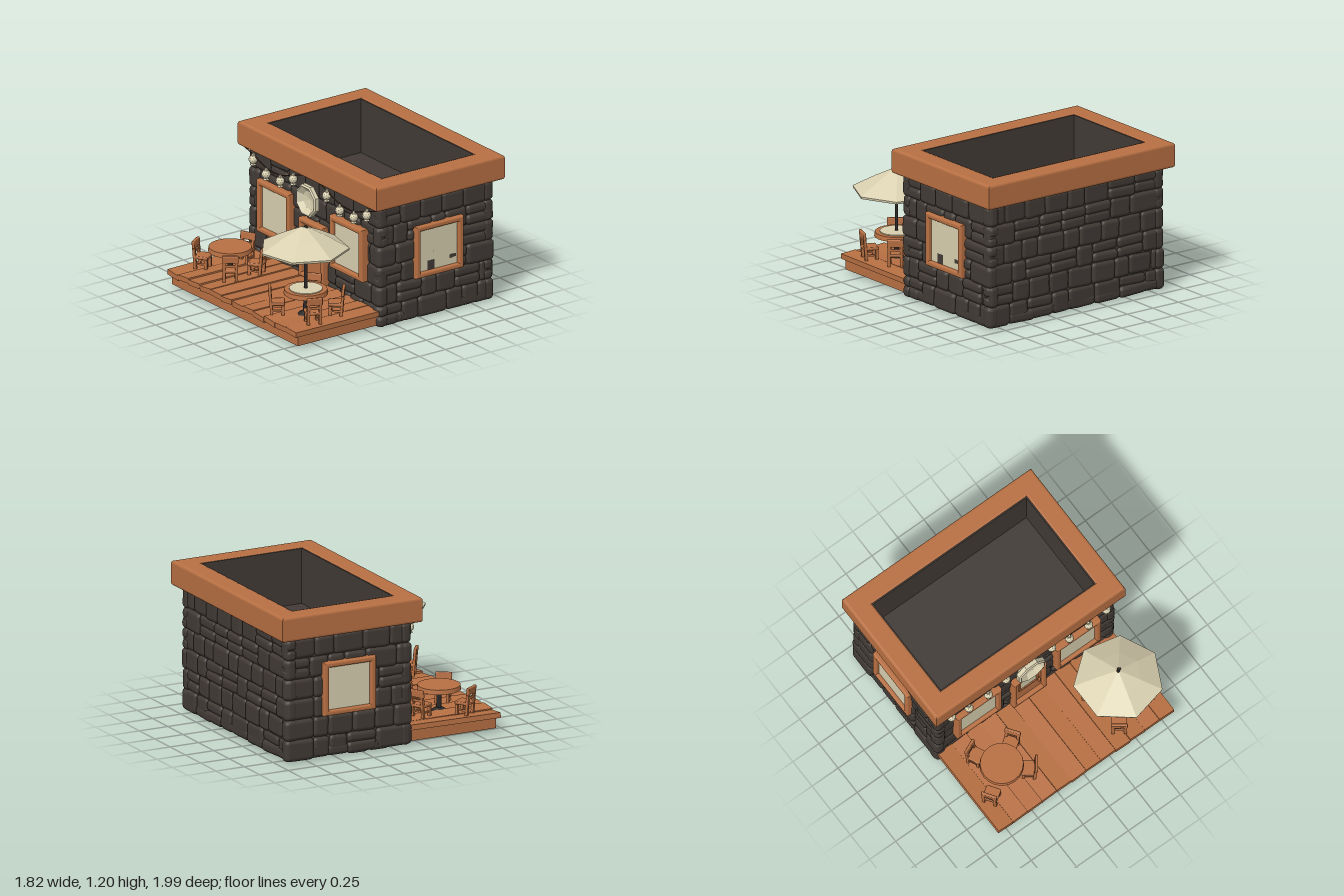
import * as THREE from 'three';
import { mergeGeometries } from 'three/addons/utils/BufferGeometryUtils.js';
import { RoundedBoxGeometry } from 'three/addons/geometries/RoundedBoxGeometry.js';

const material = (name, color, extra = {}) => {
  const m = new THREE.MeshStandardMaterial({ color, ...extra });
  m.name = name;
  return m;
};

export function createModel() {
  const wood = material('wood', 0xb87043);
  const stone = material('stone', 0x423b36);
  const cream = material('cream', 0xd9d0b0, { flatShading: true, side: THREE.DoubleSide });
  const metal = material('dark metal', 0x2a2826);
  const cord = material('cord', 0x4a3022);

  const model = new THREE.Group();
  model.name = 'cafe';
  let seed = 7;
  const rnd = (a, b) => {
    seed = (seed * 16807) % 2147483647;
    return a + (b - a) * (seed / 2147483647);
  };
  const add = (parent, name, geo, mat, x = 0, y = 0, z = 0) => {
    const m = new THREE.Mesh(geo, mat);
    m.name = name;
    m.position.set(x, y, z);
    parent.add(m);
    return m;
  };
  const group = (name, x = 0, y = 0, z = 0, parent = model) => {
    const g = new THREE.Group();
    g.name = name;
    g.position.set(x, y, z);
    parent.add(g);
    return g;
  };
  const box = (w, h, d) => new THREE.BoxGeometry(w, h, d);
  const soft = (w, h, d, r) => new RoundedBoxGeometry(w, h, d, 2, r);
  const cyl = (r1, r2, h, n = 12) => new THREE.CylinderGeometry(r1, r2, h, n);
  const lathe = (points, sides, start = 0) =>
    new THREE.LatheGeometry(points.map(([x, y]) => new THREE.Vector2(x, y)), sides, start);

  // Rectangular frame in XY, centred, with its back at z = 0
  const frame = (w, h, iw, ih, depth, b) => {
    const rect = (P, a, c) => {
      const p = new P();
      p.moveTo(-a, -c); p.lineTo(a, -c); p.lineTo(a, c); p.lineTo(-a, c); p.closePath();
      return p;
    };
    const s = rect(THREE.Shape, w / 2 - b, h / 2 - b);
    s.holes.push(rect(THREE.Path, iw / 2 + b, ih / 2 + b));
    return new THREE.ExtrudeGeometry(s, {
      depth: depth - 2 * b, bevelEnabled: b > 0, bevelSize: b, bevelThickness: b, bevelSegments: 3,
    }).translate(0, 0, b);
  };

  // Irregular courses of rounded stones, outer side at z = 0
  const stoneFace = (w, h, rows) => {
    const parts = [];
    const rh = h / rows;
    for (let r = 0; r < rows; r++) {
      let x = -w / 2;
      while (x < w / 2 - 0.01) {
        let sw = rnd(0.13, 0.27);
        if (w / 2 - x - sw < 0.11) sw = w / 2 - x;
        const split = sw > 0.2 && rnd(0, 1) > 0.65 ? 2 : 1;
        for (let k = 0; k < split; k++) {
          const sh = rh / split;
          const g = soft(sw + 0.006, sh + rnd(0.002, 0.014), 0.09, 0.035);
          g.rotateZ(rnd(-0.04, 0.04)).rotateY(rnd(-0.03, 0.03));
          g.translate(x + sw / 2, -h / 2 + r * rh + (k + 0.5) * sh, -0.045 - rnd(0, 0.016));
          parts.push(g);
        }
        x += sw;
      }
    }
    return mergeGeometries(parts);
  };

  // Stone building
  const CZ = -0.385;
  const house = group('building');
  add(house, 'wallCore', box(1.66, 0.73, 1.05), stone, 0, 0.385, CZ);
  add(house, 'frontWall', stoneFace(1.72, 0.98, 6), stone, 0, 0.505, 0.17);
  add(house, 'backWall', stoneFace(1.72, 0.98, 6), stone, 0, 0.505, -0.94).rotation.y = Math.PI;
  add(house, 'leftWall', stoneFace(1.11, 0.98, 6), stone, 0.865, 0.505, CZ).rotation.y = Math.PI / 2;
  add(house, 'rightWall', stoneFace(1.11, 0.98, 6), stone, -0.865, 0.505, CZ).rotation.y = -Math.PI / 2;
  add(house, 'underside', stoneFace(1.7, 1.09, 6), stone, 0, 0.002, CZ).rotation.x = Math.PI / 2;

  // Wooden rim around the open top, with dark walls going down inside
  add(house, 'roofRim', frame(1.82, 1.23, 1.48, 0.885, 0.2, 0.02), wood, 0, 1.0, CZ).rotation.x = -Math.PI / 2;
  add(house, 'innerWalls', frame(1.66, 1.05, 1.472, 0.877, 0.454, 0), stone, 0, 0.74, CZ).rotation.x = -Math.PI / 2;

  // Windows on the front and both sides
  const makeWindow = (x, y, z, turn, w) => {
    const g = group('window', x, y, z);
    g.rotation.y = turn;
    add(g, 'windowFrame', frame(w, 0.43, w - 0.09, 0.345, 0.1, 0.014), wood, 0, 0, -0.055);
    add(g, 'windowPane', box(w - 0.08, 0.36, 0.009), cream, 0, 0, 0.01);
  };
  makeWindow(-0.477, 0.565, 0.17, 0, 0.43);
  makeWindow(0.477, 0.565, 0.17, 0, 0.43);
  makeWindow(0.85, 0.567, -0.395, Math.PI / 2, 0.455);
  makeWindow(-0.85, 0.567, -0.395, -Math.PI / 2, 0.455);

  // Door
  const door = group('door', 0.013, 0.395, 0.12);
  add(door, 'doorFrame', frame(0.32, 0.48, 0.25, 0.41, 0.09, 0.012), wood);
  add(door, 'doorLeaf', box(0.26, 0.46, 0.06), wood, 0, -0.01, 0.025);
  add(door, 'doorWindowFrame', frame(0.185, 0.195, 0.15, 0.155, 0.02, 0.005), wood, 0, 0.07, 0.05);
  add(door, 'doorWindow', box(0.155, 0.16, 0.008), cream, 0, 0.07, 0.056);
  add(door, 'doorHandle', soft(0.022, 0.05, 0.03, 0.008), wood, 0.095, -0.04, 0.068);

  // Round hollow dish above the door
  const dish = lathe([[0.1, 0], [0.135, 0.025], [0.135, 0.058], [0.12, 0.068], [0.075, 0.03], [0, 0.016]], 8);
  dish.rotateY(Math.PI / 8).rotateX(Math.PI / 2);
  add(model, 'wallDish', dish, cream, 0.003, 0.823, 0.185);

  // String lights in two swags
  for (const s of [-1, 1]) {
    const swag = group('stringLights');
    const curve = new THREE.CatmullRomCurve3(
      [[0.86, 0.99], [0.74, 0.955], [0.57, 0.9], [0.4, 0.9], [0.22, 0.955], [0.12, 0.99]]
        .map(([x, y]) => new THREE.Vector3(s * x, y, 0.195)));
    add(swag, 'cord', new THREE.TubeGeometry(curve, 24, 0.005, 5), cord);
    for (const [x, y] of [[0.745, 0.925], [0.575, 0.855], [0.39, 0.855], [0.22, 0.925]]) {
      const bulb = new THREE.IcosahedronGeometry(0.036, 1);
      bulb.rotateY(rnd(0, 3));
      add(swag, 'bulb', bulb, cream, s * x, y, 0.203);
      add(swag, 'bulbTip', cyl(0.02, 0.026, 0.02, 6), cream, s * x, y - 0.035, 0.203);
      add(swag, 'bulbCap', cyl(0.012, 0.018, 0.025, 6), cream, s * x, y + 0.037, 0.2);
    }
  }

  // Plank deck on a flat base
  const deck = group('deck');
  add(deck, 'deckBase', box(1.65, 0.09, 0.77), wood, 0, 0.073, 0.535);
  const planks = 12;
  const pw = 1.69 / planks;
  for (let i = 0; i < planks; i++) {
    const p = add(deck, 'plank', box(pw - 0.001, 0.042, 0.8 + rnd(-0.008, 0.006)), wood,
      -0.845 + (i + 0.5) * pw, 0.133 + rnd(-0.003, 0.003), 0.553);
    p.rotation.z = rnd(-0.1, 0.1);
    p.rotation.x = rnd(-0.01, 0.01);
  }

  // Chair with its back on local +z
  const makeChair = (parent, x, z, turn) => {
    const c = group('chair', x, 0.15, z, parent);
    c.rotation.y = turn;
    add(c, 'chairSeat', soft(0.12, 0.026, 0.12, 0.008), wood, 0, 0.095, 0);
    for (const sx of [-1, 1]) {
      add(c, 'frontLeg', box(0.022, 0.09, 0.022), wood, sx * 0.045, 0.045, -0.044);
      const post = add(c, 'backPost', box(0.022, 0.215, 0.022), wood, sx * 0.048, 0.108, 0.05);
      post.rotation.x = 0.08;
      add(c, 'sideRail', box(0.012, 0.014, 0.09), wood, sx * 0.045, 0.04, 0.003);
    }
    add(c, 'backRest', soft(0.13, 0.062, 0.024, 0.008), wood, 0, 0.196, 0.057).rotation.x = 0.08;
    add(c, 'backSlat', box(0.09, 0.02, 0.012), wood, 0, 0.14, 0.053);
  };

  // Round table with chairs given as offsets from its centre
  const makeTable = (x, z, chairs) => {
    const t = group('tableSet', x, 0, z);
    add(t, 'tableTop', cyl(0.168, 0.173, 0.036, 20), wood, 0, 0.337, 0);
    add(t, 'tableApron', cyl(0.13, 0.1, 0.02, 16), wood, 0, 0.312, 0);
    add(t, 'pedestal', cyl(0.018, 0.022, 0.18, 10), metal, 0, 0.23, 0);
    add(t, 'pedestalFoot', cyl(0.03, 0.07, 0.025, 10), metal, 0, 0.16, 0);
    for (const [cx, cz] of chairs) makeChair(t, cx, cz, Math.atan2(cx, cz));
    return t;
  };
  makeTable(-0.535, 0.575, [[-0.095, -0.205], [0.175, -0.125], [0.17, 0.125], [-0.19, 0.125]]);
  const shaded = makeTable(0.545, 0.64, [[-0.15, -0.17], [0.15, -0.18], [0.2, 0.08], [-0.13, 0.18]]);

  // Umbrella with seven panels over the second table
  add(shaded, 'tableCloth', cyl(0.13, 0.13, 0.008, 20), cream, 0, 0.358, 0);
  add(shaded, 'umbrellaPole', cyl(0.014, 0.014, 0.52, 10), metal, 0, 0.61, 0);
  add(shaded, 'umbrellaTip', cyl(0.012, 0.018, 0.02, 7), metal, 0, 0.866, 0);
  const canopy = lathe([[0.35, 0.678], [0.354, 0.696], [0.18, 0.79], [0.015, 0.868]], 7, Math.PI / 2);
  add(shaded, 'umbrellaCanopy', canopy, cream, -0.012, 0, 0.008);

  return model;
}
